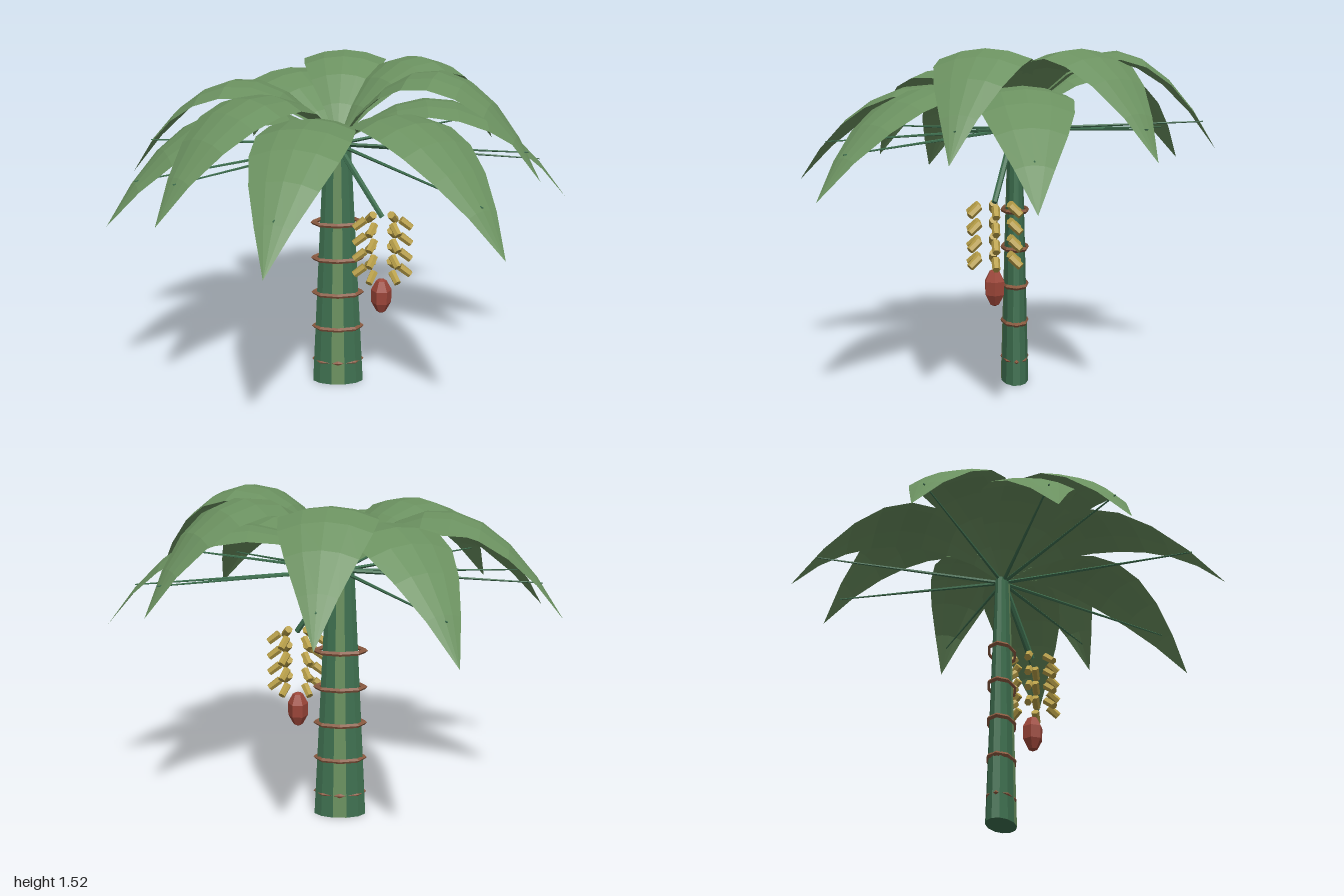
import * as THREE from 'three';

const mat = (name, color, side = THREE.FrontSide) => {
  const m = new THREE.MeshStandardMaterial({ color, flatShading: true, side });
  m.name = name;
  return m;
};

// Tapered rod between two points
function rod(name, a, b, rA, rB, sides, material) {
  const dir = b.clone().sub(a);
  const mesh = new THREE.Mesh(new THREE.CylinderGeometry(rB, rA, dir.length(), sides), material);
  mesh.name = name;
  mesh.position.copy(a).addScaledVector(dir, 0.5);
  mesh.quaternion.setFromUnitVectors(new THREE.Vector3(0, 1, 0), dir.normalize());
  return mesh;
}

// Arched, pointed blade along +x; rise and fall give a parabolic midrib
function leafGeometry(length, rise, fall) {
  const geo = new THREE.PlaneGeometry(1, 1, 8, 4);
  const p = geo.attributes.position;
  for (let i = 0; i < p.count; i++) {
    const t = p.getX(i) + 0.5, across = p.getY(i) * 2;
    const half = 0.197 * Math.sin(Math.PI * t);
    const droop = 0.22 * half * across * across;
    p.setXYZ(i, length * t, rise * t - fall * t * t - droop, -across * half);
  }
  geo.computeVertexNormals();
  return geo;
}

export function createModel() {
  const leafGreen = mat('leaf green', 0x6b9160, THREE.DoubleSide);
  const stemGreen = mat('stem green', 0x3f7050);
  const ringBrown = mat('ring brown', 0x8a5a40);
  const fruitYellow = mat('fruit yellow', 0xb89f48);
  const budRed = mat('bud red', 0x9c4639);

  const model = new THREE.Group();
  model.name = 'bananaPlant';
  const add = (name, geo, material, parent = model) => {
    const mesh = new THREE.Mesh(geo, material);
    mesh.name = name;
    parent.add(mesh);
    return mesh;
  };

  // Flattened trunk with a paler strip in front and behind
  const plant = new THREE.Group();
  plant.name = 'plant';
  plant.position.set(-0.04, 0, -0.045);
  model.add(plant);
  const sides = 12, height = 1.17;
  const trunkGeo = new THREE.CylinderGeometry(0.063, 0.124, height, sides, 1, false, -Math.PI / sides);
  trunkGeo.clearGroups();
  for (let i = 0; i < sides; i++) trunkGeo.addGroup(i * 6, 6, i % 6 === 0 ? 1 : 0);
  trunkGeo.addGroup(sides * 6, sides * 6, 0);
  const trunk = add('trunk', trunkGeo, [stemGreen, leafGreen], plant);
  trunk.position.y = height / 2;
  trunk.scale.z = 0.52;

  // Leaf scar rings
  for (let i = 0; i < 5; i++) {
    const geo = new THREE.TorusGeometry(0.113, 0.011, 4, 8);
    geo.rotateX(Math.PI / 2);
    geo.scale(1, 1, 0.53);
    add('trunkRing', geo, ringBrown, plant).position.y = 0.11 + i * 0.173;
  }

  // Leaves spiral by the golden angle in three tiers: low, middle, high
  const tiers = [
    { length: 1.04, rise: 1.0, fall: 1.25, rib: [0.91, -0.07] },
    { length: 0.965, rise: 1.25, fall: 1.42, rib: [0.87, -0.015] },
    { length: 0.91, rise: 1.49, fall: 1.58, rib: [0.85, 0.035] },
  ].map((t) => ({ ...t, geo: leafGeometry(t.length, t.rise, t.fall) }));
  for (let i = 0; i < 10; i++) {
    const tier = tiers[i % 3];
    const frond = new THREE.Group();
    frond.name = 'frond';
    frond.position.y = height;
    frond.rotation.y = -THREE.MathUtils.degToRad(137.5 * i);
    add('leafBlade', tier.geo, leafGreen, frond);
    frond.add(rod('leafStalk', new THREE.Vector3(), new THREE.Vector3(tier.rib[0], tier.rib[1], 0),
      0.009, 0.003, 5, stemGreen));
    plant.add(frond);
  }

  // Fruit stem hanging to the front left
  model.add(rod('fruitStem', new THREE.Vector3(-0.04, 1.17, -0.04), new THREE.Vector3(0.16, 0.86, 0.06),
    0.015, 0.013, 6, stemGreen));

  // Four rows of six stubby fruits, each tilted outward and down
  const bunch = new THREE.Group();
  bunch.name = 'fruitBunch';
  bunch.position.set(0.163, 0, 0.06);
  model.add(bunch);
  for (let row = 0; row < 4; row++) {
    for (let k = 0; k < 6; k++) {
      const a = (k * Math.PI) / 3, c = Math.cos(a), s = Math.sin(a), y = 0.83 - row * 0.075;
      const point = (r, dy) => new THREE.Vector3(c * r, y + dy, s * r);
      bunch.add(rod('fruit', point(0.08, 0.018), point(0.128, -0.02), 0.019, 0.017, 6, fruitYellow));
    }
  }

  // Flower bud below the bunch
  const profile = [[0, 0.395], [0.022, 0.405], [0.046, 0.45], [0.048, 0.51], [0.024, 0.555], [0, 0.565]]
    .map(([r, y]) => new THREE.Vector2(r, y));
  add('flowerBud', new THREE.LatheGeometry(profile, 6, Math.PI / 6), budRed).position.set(0.16, 0, 0.06);

  return model;
}
